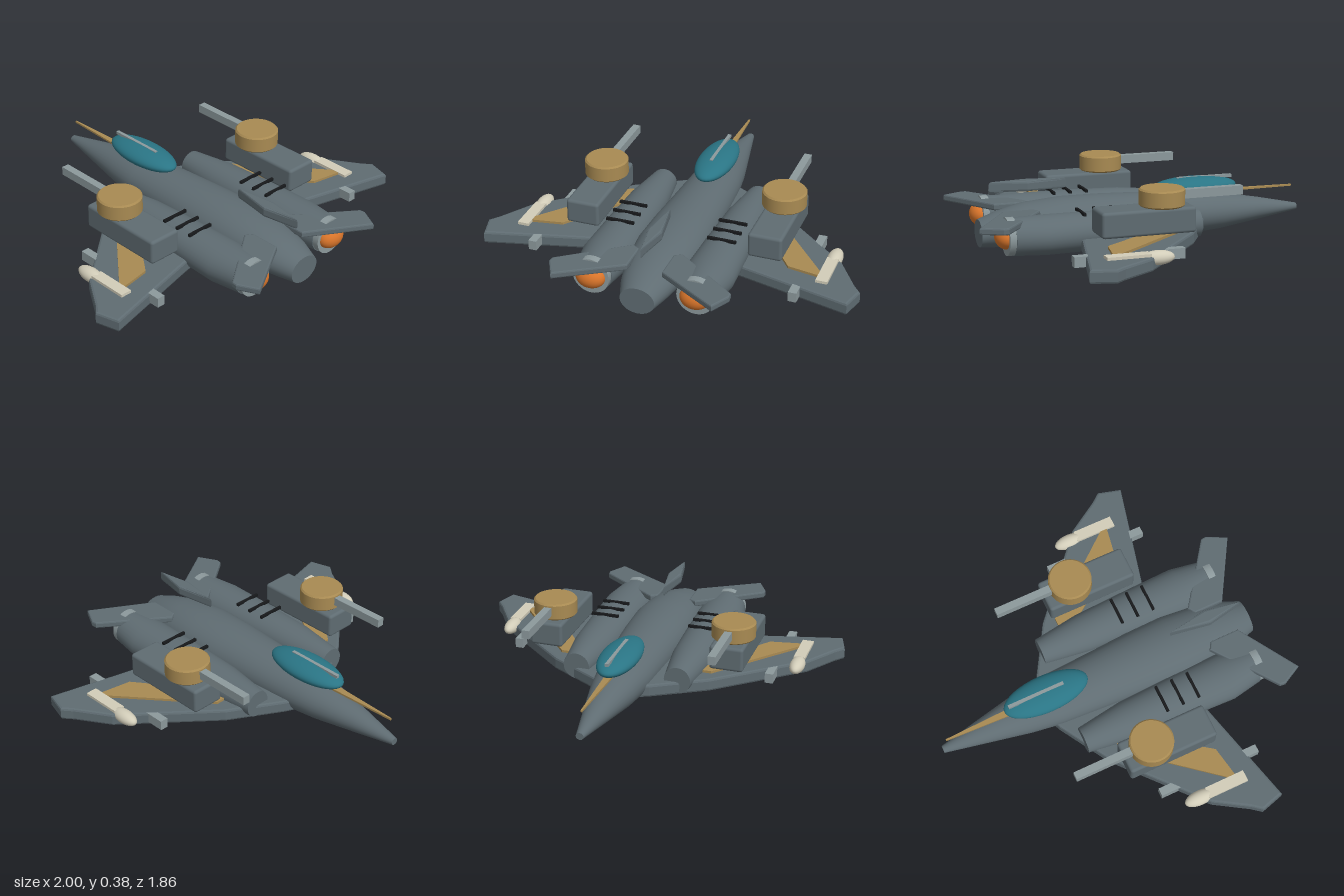
import * as THREE from 'three';
import { RoundedBoxGeometry } from 'three/addons/geometries/RoundedBoxGeometry.js';

const paint = (name, color) => {
  const m = new THREE.MeshStandardMaterial({ color });
  m.name = name;
  return m;
};

// Elliptical loft along z; stations are [z, halfWidth, bottomY, topY]
function loft(stations, cx = 0, sides = 32) {
  const pos = [], idx = [];
  const ring = ([z, rx, y0, y1]) => {
    for (let j = 0; j < sides; j++) {
      const t = (j / sides) * Math.PI * 2;
      pos.push(cx + rx * Math.cos(t), (y0 + y1) / 2 + ((y1 - y0) / 2) * Math.sin(t), z);
    }
  };
  stations.forEach(ring);
  for (let i = 0; i < stations.length - 1; i++) {
    for (let j = 0; j < sides; j++) {
      const k = (j + 1) % sides;
      const a = i * sides + j, b = i * sides + k;
      idx.push(a, b, a + sides, b, b + sides, a + sides);
    }
  }
  // End caps with their own vertices for a crisp edge
  [stations[0], stations[stations.length - 1]].forEach((s, e) => {
    const base = pos.length / 3;
    ring(s);
    for (let j = 1; j < sides - 1; j++) {
      if (e) idx.push(base, base + j, base + j + 1);
      else idx.push(base, base + j + 1, base + j);
    }
  });
  const g = new THREE.BufferGeometry();
  g.setAttribute('position', new THREE.Float32BufferAttribute(pos, 3));
  g.setIndex(idx);
  g.computeVertexNormals();
  return g;
}

// Plan outline of [x, z] points extruded from y0 to y1
function plate(points, y0, y1, side = 1, bevel = 0, offset = -bevel) {
  const shape = new THREE.Shape(points.map(([x, z]) => new THREE.Vector2(x * side, -z)));
  const g = new THREE.ExtrudeGeometry(shape, {
    depth: y1 - y0 - 2 * bevel, bevelEnabled: bevel > 0,
    bevelSize: bevel, bevelThickness: bevel, bevelOffset: offset, bevelSegments: 2,
  });
  g.rotateX(-Math.PI / 2);
  g.translate(0, y0 + bevel, 0);
  return g;
}

export function createModel() {
  const model = new THREE.Group();
  model.name = 'strikeCraft';
  const hull = paint('hullGrey', 0x5f6c72);
  const steel = paint('lightSteel', 0x8c999c);
  const gold = paint('ochre', 0xa88a52);
  const glass = paint('tealGlass', 0x2a7585);
  const cream = paint('cream', 0xd2cdb9);
  const orange = paint('exhaustOrange', 0xdb762b);
  const black = paint('ventBlack', 0x17191b);

  const add = (name, geometry, material, x = 0, y = 0, z = 0) => {
    const m = new THREE.Mesh(geometry, material);
    m.name = name;
    m.position.set(x, y, z);
    model.add(m);
    return m;
  };
  const box = (w, h, d) => new THREE.BoxGeometry(w, h, d);

  // Central fuselage, nose towards -z
  add('fuselage', loft([
    [-0.93, 0.02, 0.105, 0.142], [-0.7, 0.068, 0.07, 0.19], [-0.47, 0.115, 0.037, 0.23],
    [-0.3, 0.14, 0.025, 0.248], [0, 0.157, 0.008, 0.262], [0.2, 0.17, 0.008, 0.268],
    [0.4, 0.175, 0.015, 0.268], [0.6, 0.158, 0.025, 0.25], [0.74, 0.125, 0.033, 0.215],
    [0.84, 0.09, 0.038, 0.18],
  ]), hull);

  // Canopy and its frame bar
  const canopy = add('canopy', new THREE.SphereGeometry(1, 36, 24), glass, 0, 0.276, -0.335);
  canopy.scale.set(0.1, 0.052, 0.235);
  add('canopyBar', box(0.018, 0.016, 0.31), steel, 0, 0.32, -0.39);

  // Nose stripe and raised dorsal blade
  add('noseProbe', plate([[-0.02, -0.5], [-0.004, -0.9], [0.004, -0.9], [0.02, -0.5]], 0.238, 0.248), gold);
  add('dorsalBlade', plate([[0, 0.393], [0.026, 0.59], [0, 0.765], [-0.026, 0.59]],
    0.315, 0.37, 1, 0.012, 0), hull);

  const wing = [[0.08, -0.36], [0.15, -0.33], [0.42, -0.17], [0.85, 0.205], [0.96, 0.38],
    [1, 0.43], [0.965, 0.555], [0.4, 0.415], [0.08, 0.35]];
  const panel = [[0.33, -0.1], [0.41, -0.1], [0.81, 0.385], [0.61, 0.35], [0.34, -0.02]];
  const tail = [[0.09, 0.575], [0.13, 0.55], [0.462, 0.795], [0.465, 0.825], [0.41, 0.93], [0.09, 0.735]];

  for (const side of [1, -1]) {
    const s = side > 0 ? 'left' : 'right';

    // Wing, painted panel and tailplane
    add(s + 'Wing', plate(wing, 0.065, 0.133, side, 0.012), hull);
    add(s + 'WingPanel', plate(panel, 0.133, 0.146, side), gold);
    add(s + 'Tailplane', plate(tail, 0.2, 0.235, side, 0.008), hull);

    // Engine nacelle, nozzle ring and exhaust
    const ex = side * 0.272;
    add(s + 'Nacelle', loft([
      [-0.25, 0.07, 0.07, 0.212], [0, 0.106, 0.053, 0.235], [0.3, 0.12, 0.046, 0.243],
      [0.57, 0.13, 0.043, 0.243], [0.735, 0.1, 0.05, 0.24],
    ], ex), hull);
    const nozzle = add(s + 'Nozzle', new THREE.CylinderGeometry(0.096, 0.096, 0.04, 32), steel, ex, 0.148, 0.748);
    nozzle.rotation.x = Math.PI / 2;
    const glow = add(s + 'Exhaust', new THREE.SphereGeometry(1, 28, 18), orange, ex, 0.148, 0.765);
    glow.scale.set(0.078, 0.06, 0.058);
    glow.scale.y = 0.062;

    // Cooling vents across the nacelle
    for (const z of [0.2, 0.29, 0.38]) add(s + 'Vent', box(0.15, 0.014, 0.014), black, ex, 0.244, z);

    // Turret: housing, drum and barrel
    const tx = side * 0.49;
    add(s + 'TurretHousing', new RoundedBoxGeometry(0.178, 0.13, 0.488, 3, 0.016), hull, tx, 0.234, 0.122);
    const drum = [[0, 0], [0.107, 0], [0.115, 0.008], [0.115, 0.008], [0.115, 0.082], [0.115, 0.082], [0.107, 0.09],
      [0.107, 0.09], [0, 0.09]].map(([r, y]) => new THREE.Vector2(r, y));
    add(s + 'TurretDrum', new THREE.LatheGeometry(drum, 40), gold, tx, 0.298, 0.03);
    add(s + 'Barrel', box(0.04, 0.045, 0.36), steel, tx, 0.35, -0.215);

    // Wing rail
    add(s + 'WingRail', box(0.043, 0.052, 0.56), steel, side * 0.692, 0.106, 0.27);

    // Missile head and body on the wing
    const head = add(s + 'MissileHead', new THREE.SphereGeometry(1, 24, 16), cream, side * 0.802, 0.12, 0.165);
    head.scale.set(0.039, 0.036, 0.085);
    add(s + 'MissileBody', box(0.06, 0.045, 0.22), cream, side * 0.802, 0.125, 0.315);
  }
  return model;
}
